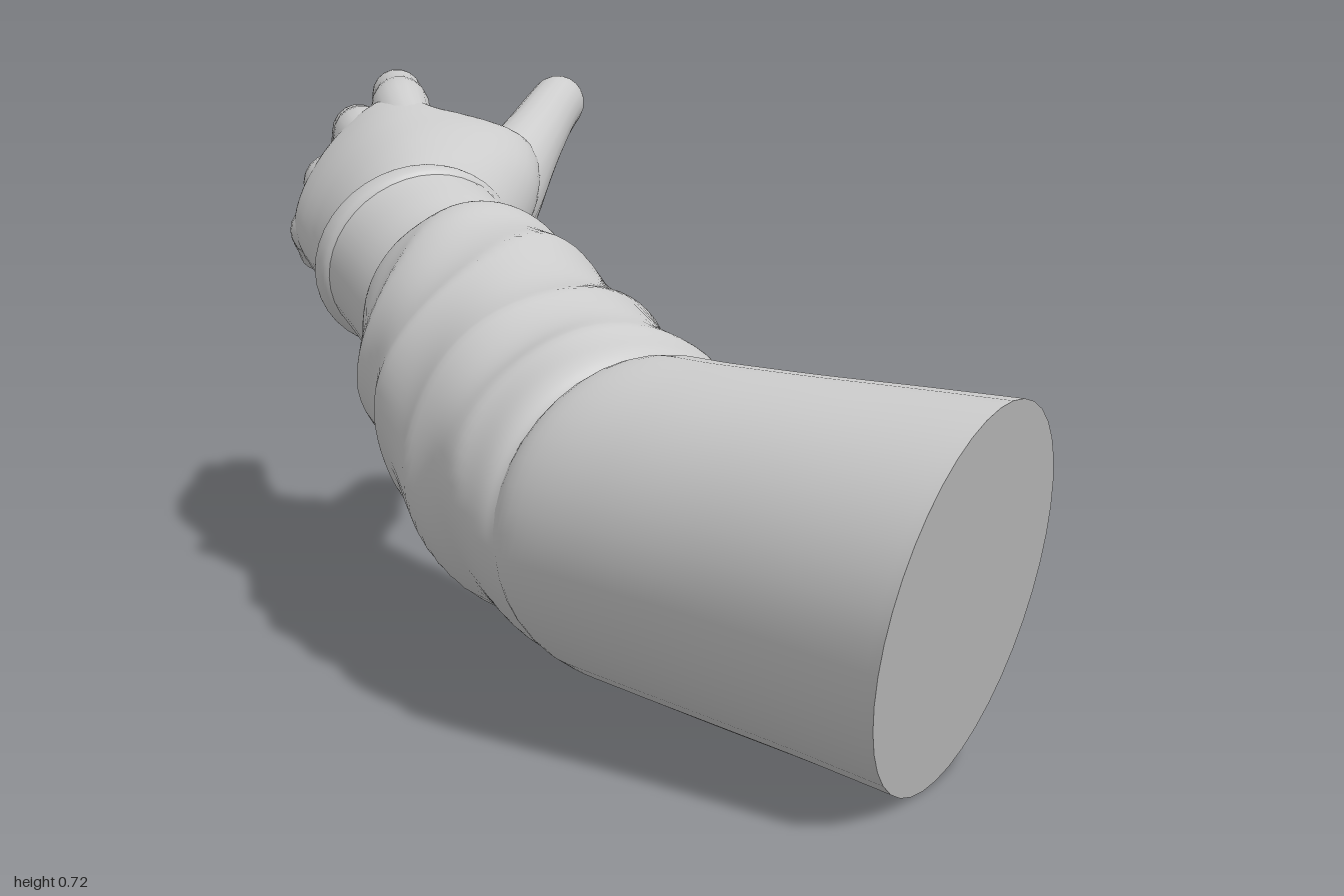
import * as THREE from 'three';

const V = (x, y, z) => new THREE.Vector3(x, y, z);
const smooth = new THREE.MeshStandardMaterial({ color: 0xcccccc, side: THREE.DoubleSide });

// Smooth skin over a list of rings; tip closes the far end
function skin(name, rings, tip) {
  const n = rings[0].length, pos = [], idx = [];
  rings.forEach(r => r.forEach(p => pos.push(p.x, p.y, p.z)));
  for (let i = 0; i < rings.length - 1; i++) {
    for (let j = 0; j < n; j++) {
      const a = i * n + j, b = i * n + (j + 1) % n;
      idx.push(a, b, a + n, b, b + n, a + n);
    }
  }
  if (tip) {
    pos.push(tip.x, tip.y, tip.z);
    const k = (rings.length - 1) * n;
    for (let j = 0; j < n; j++) idx.push(k + j, k + (j + 1) % n, rings.length * n);
  }
  const g = new THREE.BufferGeometry();
  g.setAttribute('position', new THREE.Float32BufferAttribute(pos, 3));
  g.setIndex(idx);
  g.computeVertexNormals();
  const mesh = new THREE.Mesh(g, smooth);
  mesh.name = name;
  return mesh;
}

// Catmull-Rom through rows of numbers
function sample(rows, t) {
  const f = t * (rows.length - 1), i = Math.min(Math.floor(f), rows.length - 2), u = f - i;
  const at = k => rows[Math.max(0, Math.min(rows.length - 1, k))];
  return rows[i].map((p1, c) => {
    const p0 = at(i - 1)[c], p2 = at(i + 1)[c], p3 = at(i + 2)[c];
    return p1 + 0.5 * u * (p2 - p0 + u * (2 * p0 - 5 * p1 + 4 * p2 - p3 + u * (3 * (p1 - p2) + p3 - p0)));
  });
}

// Arm section: z, left, right, bottom, top, slope of z along x, slope of z along y
function armRing([z, l, r, bot, top, a, b], n, fold = () => 0) {
  return Array.from({ length: n }, (_, j) => {
    const t = -j / n * Math.PI * 2, k = 1 + fold(t, z);
    const dx = (r - l) / 2 * Math.cos(t) * k, dy = (top - bot) / 2 * Math.sin(t) * k;
    return V((l + r) / 2 + dx, (bot + top) / 2 + dy, z + a * dx + b * dy);
  });
}
const armRings = (rows, steps, n, fold) =>
  Array.from({ length: steps + 1 }, (_, i) => armRing(sample(rows, i / steps), n, fold));

// Finger: rows of x, y, z, radius, with a rounded end
function finger(name, rows) {
  const steps = 36, n = 18;
  const curve = new THREE.CatmullRomCurve3(rows.map(r => V(r[0], r[1], r[2])));
  const len = curve.getLength(), end = rows[rows.length - 1][3] * 1.2;
  const rings = [];
  for (let i = 0; i < steps; i++) {
    // Rings crowd together towards the tip
    const s = 1 - (1 - i / steps) ** 2, p = curve.getPointAt(s), dir = curve.getTangentAt(s);
    const side = V(0, 1, 0).cross(dir).normalize(), up = dir.clone().cross(side);
    const d = Math.max(0, 1 - (1 - s) * len / end);
    const r = sample(rows, curve.getUtoTmapping(s))[3]
      * (1 + 0.04 * Math.cos(s * Math.PI * 6)) * Math.sqrt(1 - d * d);
    rings.push(Array.from({ length: n }, (_, j) => {
      const q = j / n * Math.PI * 2;
      return p.clone().addScaledVector(side, r * Math.cos(q)).addScaledVector(up, r * Math.sin(q));
    }));
  }
  return skin(name, rings, curve.getPointAt(1));
}

export function createModel() {
  const arm = new THREE.Group();
  arm.name = 'arm';

  // Upper arm with its slanted flat end
  const upper = [
    [0.865, -0.31, 0.104, 0, 0.452, -0.54, 0.3],
    [0.74, -0.33, 0.06, 0.018, 0.452, -0.48, 0.28],
    [0.62, -0.352, 0.012, 0.035, 0.452, -0.4, 0.25],
    [0.5, -0.382, -0.014, 0.052, 0.452, -0.22, 0.2],
    [0.41, -0.4, -0.022, 0.064, 0.45, -0.03, 0.1],
    [0.36, -0.385, -0.025, 0.078, 0.42, 0, 0.06]];
  arm.add(skin('upperArm', armRings(upper, 30, 40)));
  arm.add(skin('upperArmEnd', [armRing(upper[0], 40).reverse()], V(-0.103, 0.226, 0.865)));

  // Wrinkled forearm sleeve: uneven slanted ridges that fade at both ends
  const fold = (t, z) => {
    const fade = Math.min(1, Math.max(0, (0.36 - z) * 8)) * Math.min(1, Math.max(0, (z + 0.24) * 12));
    const w = 42 * z + 2 * Math.sin(t + 0.6) + 1.2 * Math.sin(2 * t + 9 * z);
    const ridge = 0.7 - 2 * Math.abs(Math.sin(w / 2));
    return fade * (0.026 * ridge + 0.013 * Math.sin(3 * t + 17 * z) + 0.011 * Math.sin(5 * t - 26 * z));
  };
  const sleeve = [
    [0.4, -0.388, -0.028, 0.07, 0.435, 0, 0.05],
    [0.37, -0.388, -0.018, 0.07, 0.428, 0.03, 0.08],
    [0.33, -0.388, 0.012, 0.075, 0.455, 0.1, 0.12],
    [0.2, -0.358, 0.026, 0.1, 0.484, 0.2, 0.22],
    [0.08, -0.335, 0.038, 0.142, 0.512, 0.22, 0.26],
    [-0.02, -0.296, 0.048, 0.185, 0.537, 0.24, 0.28],
    [-0.12, -0.255, 0.054, 0.235, 0.56, 0.25, 0.29],
    [-0.2, -0.207, 0.072, 0.275, 0.576, 0.25, 0.29],
    [-0.25, -0.178, 0.07, 0.305, 0.562, 0.25, 0.29]];
  arm.add(skin('sleeve', armRings(sleeve, 110, 64, fold)));

  // Narrow cuff and its slim edge band
  arm.add(skin('cuff', armRings([
    [-0.2, -0.182, 0.066, 0.29, 0.555, 0.25, 0.29],
    [-0.26, -0.176, 0.075, 0.308, 0.563, 0.25, 0.29],
    [-0.32, -0.166, 0.088, 0.332, 0.582, 0.25, 0.29],
    [-0.39, -0.155, 0.102, 0.358, 0.602, 0.25, 0.29]], 16, 40)));
  arm.add(skin('cuffBand', armRings([
    [-0.375, -0.154, 0.097, 0.358, 0.596, 0.25, 0.29],
    [-0.385, -0.162, 0.107, 0.35, 0.606, 0.25, 0.29],
    [-0.405, -0.161, 0.112, 0.35, 0.61, 0.25, 0.29],
    [-0.422, -0.153, 0.112, 0.356, 0.608, 0.25, 0.29],
    [-0.432, -0.135, 0.104, 0.365, 0.598, 0.25, 0.29],
    [-0.425, -0.1, 0.06, 0.39, 0.56, 0.25, 0.29]], 30, 40)));

  // Palm: z, centre x, centre y, half width, half thickness, slant, thumb-side swell
  const hand = new THREE.Group();
  hand.name = 'hand';
  const palm = [
    [-0.37, -0.022, 0.475, 0.12, 0.117, 0.27, 0],
    [-0.42, -0.006, 0.487, 0.126, 0.122, 0.25, 0.03],
    [-0.47, 0.008, 0.502, 0.137, 0.115, 0.2, 0.08],
    [-0.52, 0.02, 0.52, 0.146, 0.104, 0.13, 0.1],
    [-0.565, 0.028, 0.537, 0.149, 0.092, 0.06, 0.07],
    [-0.61, 0.035, 0.553, 0.15, 0.08, 0.02, 0.02],
    [-0.655, 0.042, 0.567, 0.147, 0.068, 0, 0],
    [-0.7, 0.05, 0.58, 0.135, 0.054, 0, 0],
    [-0.735, 0.057, 0.585, 0.1, 0.038, 0, 0],
    [-0.75, 0.06, 0.585, 0.06, 0.02, 0, 0]];
  const palmRings = Array.from({ length: 46 }, (_, i) => {
    const [z, x, y, w, h, s, swell] = sample(palm, i / 45);
    return Array.from({ length: 48 }, (_, j) => {
      const t = -j / 48 * Math.PI * 2, c = w * Math.cos(t), d = h * Math.sin(t);
      const m = swell * Math.max(0, Math.cos(t + 0.7)) ** 2;
      const dx = 0.69 * c - 0.72 * d, dy = 0.72 * c + 0.69 * d;
      return V(x + dx + 0.93 * m, y + dy + 0.37 * m, z + s * (dx + dy));
    });
  });
  hand.add(skin('palm', palmRings, V(0.06, 0.585, -0.755)));

  // Four fingers and the thumb
  hand.add(finger('indexFinger', [
    [0.09, 0.625, -0.6, 0.042], [0.128, 0.66, -0.69, 0.043], [0.188, 0.677, -0.8, 0.038],
    [0.23, 0.676, -0.88, 0.035], [0.266, 0.66, -0.955, 0.031]]));
  hand.add(finger('middleFinger', [
    [0.05, 0.59, -0.6, 0.042], [0.072, 0.617, -0.7, 0.044], [0.13, 0.628, -0.82, 0.039],
    [0.175, 0.611, -0.91, 0.036], [0.215, 0.58, -1, 0.032]]));
  hand.add(finger('ringFinger', [
    [0.005, 0.53, -0.6, 0.042], [0.017, 0.555, -0.7, 0.042], [0.077, 0.553, -0.81, 0.037],
    [0.12, 0.535, -0.885, 0.035], [0.166, 0.5, -0.962, 0.031]]));
  hand.add(finger('littleFinger', [
    [-0.03, 0.475, -0.58, 0.04], [-0.025, 0.492, -0.67, 0.039], [0.02, 0.48, -0.765, 0.034],
    [0.055, 0.46, -0.825, 0.032], [0.098, 0.427, -0.89, 0.029]]));
  hand.add(finger('thumb', [
    [0.03, 0.48, -0.43, 0.06], [0.11, 0.515, -0.48, 0.08], [0.2, 0.566, -0.52, 0.068],
    [0.273, 0.618, -0.56, 0.047], [0.335, 0.655, -0.605, 0.044], [0.396, 0.688, -0.645, 0.038]]));
  arm.add(hand);
  return arm;
}
